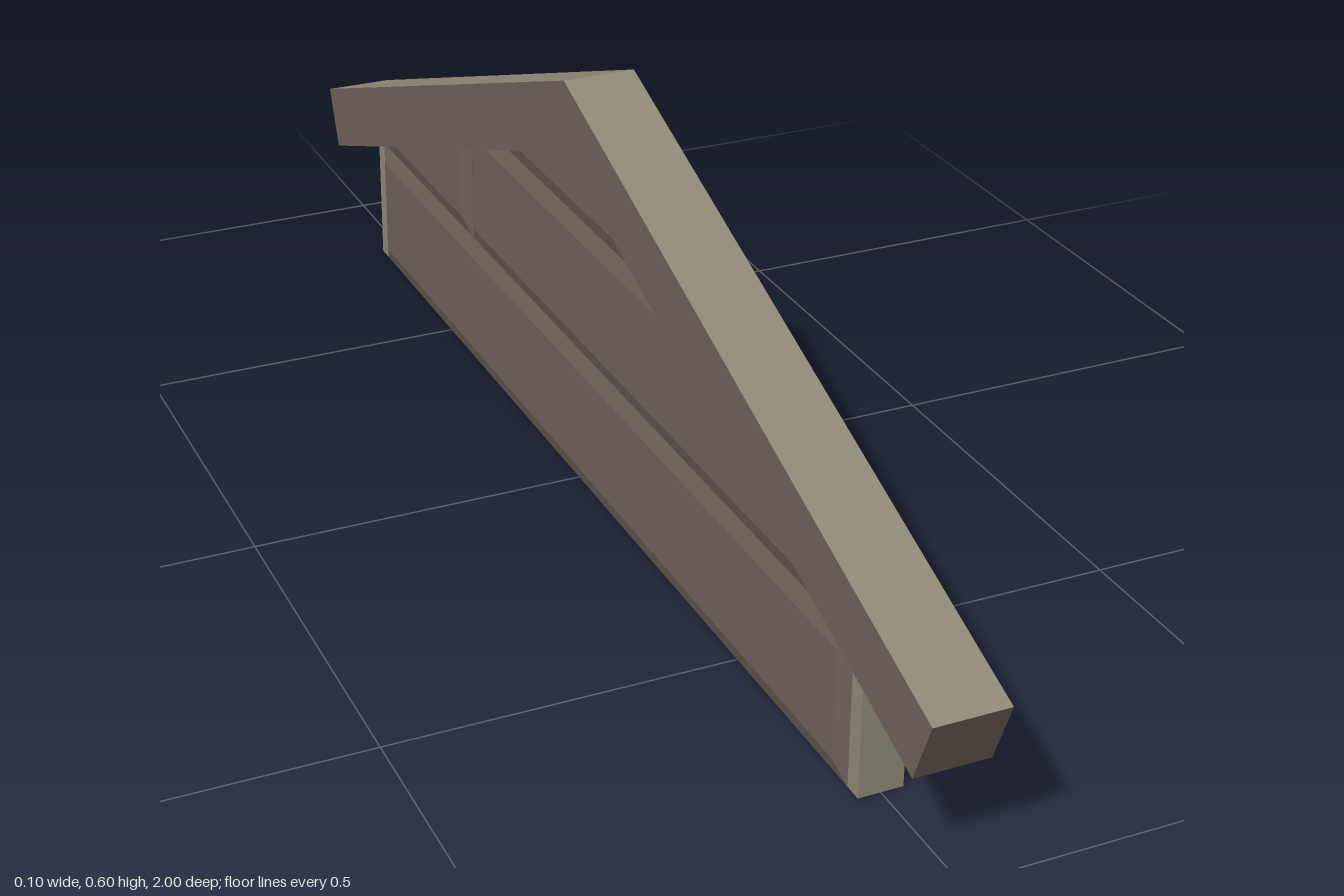
import * as THREE from 'three';

const grey = new THREE.MeshStandardMaterial({ color: 0x8f8979 });
grey.name = 'weathered grey wood';
const brown = new THREE.MeshStandardMaterial({ color: 0x6e6259 });
brown.name = 'brown wood';

// Convex plank face: outline lies on the wall, the raised face is inset by the bevel.
// Outline is counter-clockwise in (across, up).
function plankGeometry(outline, bevel = 0.025, base = 0.03, raised = 0.038) {
  const pts = outline.map(([x, y]) => new THREE.Vector2(x, y));
  const n = pts.length;
  const inward = pts.map((p, i) => {
    const d = pts[(i + 1) % n].clone().sub(p).normalize();
    return new THREE.Vector2(-d.y, d.x);
  });
  const inner = pts.map((p, i) => {
    const a = inward[(i + n - 1) % n], b = inward[i];
    return p.clone().addScaledVector(a.clone().add(b), bevel / (1 + a.dot(b)));
  });
  const pos = [];
  const put = (p, z) => pos.push(p.x, p.y, z);
  for (let i = 0; i < n; i++) {
    const j = (i + 1) % n;
    put(pts[i], base); put(pts[j], base); put(inner[j], raised);
    put(pts[i], base); put(inner[j], raised); put(inner[i], raised);
    if (i > 0 && i < n - 1) {
      put(inner[0], raised); put(inner[i], raised); put(inner[j], raised);
    }
  }
  const g = new THREE.BufferGeometry();
  g.setAttribute('position', new THREE.Float32BufferAttribute(pos, 3));
  g.computeVertexNormals();
  return g;
}

// Sloped half of the roof beam: a box whose corners are moved to the slope.
function rafterGeometry() {
  const g = new THREE.BoxGeometry(0.1, 1, 1);
  const p = g.attributes.position;
  for (let i = 0; i < p.count; i++) {
    const top = p.getY(i) > 0, outer = p.getZ(i) > 0;
    p.setY(i, outer ? (top ? 0.22 : 0.132) : (top ? 0.595 : 0.495));
    p.setZ(i, outer ? (top ? 1 : 0.965) : 0);
  }
  g.computeVertexNormals();
  return g;
}

export function createModel() {
  const model = new THREE.Group();
  model.name = 'gable';
  const add = (parent, name, geometry, material) => {
    const mesh = new THREE.Mesh(geometry, material);
    mesh.name = name;
    parent.add(mesh);
    return mesh;
  };

  // Wall core, its top hidden inside the beam
  const shape = new THREE.Shape(
    [[-0.815, 0], [0.815, 0], [0.815, 0.239], [0, 0.545], [-0.815, 0.239]]
      .map(([x, y]) => new THREE.Vector2(x, y)));
  const core = new THREE.ExtrudeGeometry(shape, { depth: 0.06, bevelEnabled: false });
  core.translate(0, 0, -0.03).rotateY(Math.PI / 2);
  add(model, 'wallCore', core, grey);

  // Bevelled planks; the same layout turned half round for the other face
  const planks = {
    lowerPlank: [[-0.79, 0], [0.79, 0], [0.79, 0.2], [-0.79, 0.2]],
    shortMiddlePlank: [[-0.79, 0.2], [-0.396, 0.2], [-0.396, 0.395], [-0.79, 0.249]],
    longMiddlePlank: [[-0.396, 0.2], [0.79, 0.2], [0.79, 0.249], [0.395, 0.397], [-0.396, 0.397]],
    topPlank: [[-0.395, 0.397], [0.395, 0.397], [0, 0.545]],
  };
  for (const side of [1, -1]) {
    const face = new THREE.Group();
    face.name = side > 0 ? 'leftPlanks' : 'rightPlanks';
    face.rotation.y = side * Math.PI / 2;
    for (const [name, outline] of Object.entries(planks)) {
      add(face, name, plankGeometry(outline), brown);
    }
    model.add(face);
  }

  // Roof beams: grey above and below, brown on sides and ends
  const rafter = rafterGeometry();
  const skins = [brown, brown, grey, grey, brown, brown];
  add(model, 'frontRafter', rafter, skins);
  add(model, 'backRafter', rafter, skins).rotation.y = Math.PI;

  return model;
}
